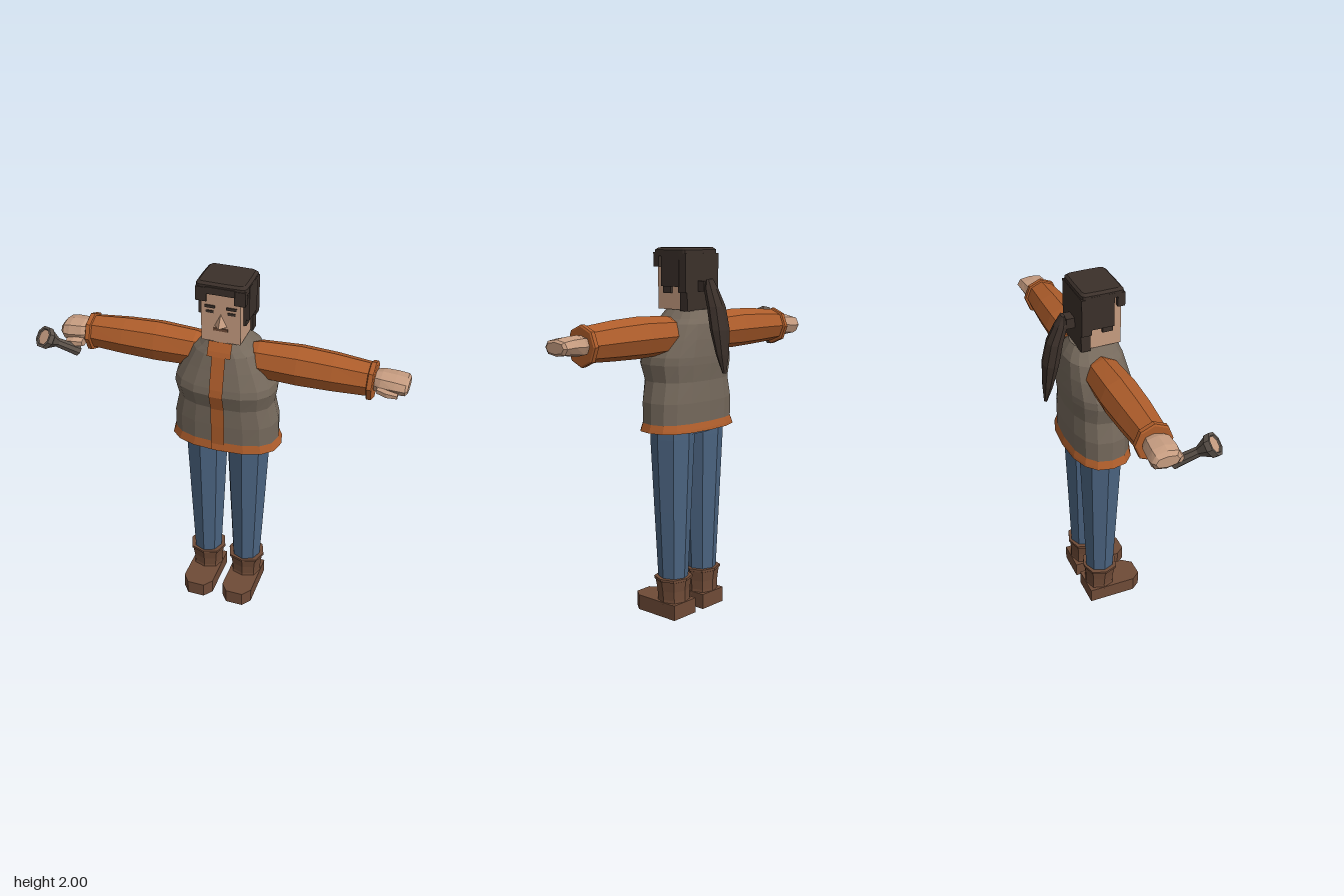
import * as THREE from 'three';

const paint = (name, color) => Object.assign(new THREE.MeshStandardMaterial({ color }), { name });

// Every face gets its own normal for the low-poly look
function mesh(name, geometry, material) {
  const g = geometry.index ? geometry.toNonIndexed() : geometry;
  g.computeVertexNormals();
  const m = new THREE.Mesh(g, material);
  m.name = name;
  return m;
}

// Capped skin over oval rings. Each ring: centre c, half-axes u and v; rings run along u x v
function loft(rings, n = 8, p = 1) {
  const pos = [], idx = [];
  const pow = (t) => Math.sign(t) * Math.abs(t) ** p;
  for (const { c, u, v } of rings)
    for (let i = 0; i < n; i++) {
      const a = (i / n) * Math.PI * 2, cu = pow(Math.cos(a)), sv = pow(Math.sin(a));
      for (let k = 0; k < 3; k++) pos.push(c[k] + u[k] * cu + v[k] * sv);
    }
  const last = (rings.length - 1) * n;
  for (let r = 0; r < last; r += n)
    for (let i = 0; i < n; i++) {
      const j = (i + 1) % n;
      idx.push(r + i, r + j, r + n + j, r + i, r + n + j, r + n + i);
    }
  for (let i = 1; i < n - 1; i++) idx.push(0, i + 1, i, last, last + i, last + i + 1);
  const g = new THREE.BufferGeometry();
  g.setAttribute('position', new THREE.Float32BufferAttribute(pos, 3));
  g.setIndex(idx);
  return g;
}

// Upright ring: height, half width, front z, back z, centre x
const ringY = (y, w, zf, zb, x = 0) => ({ c: [x, y, (zf + zb) / 2], u: [0, 0, (zf - zb) / 2], v: [w, 0, 0] });

// Sideways limb for side s; rows: x, centre y, half height, front z, back z
function limb(rows, s, n = 8, p = 1) {
  const rings = rows.map(([x, y, h, zf, zb]) => ({ c: [x * s, y, (zf + zb) / 2], u: [0, h, 0], v: [0, 0, (zf - zb) / 2] }));
  return loft(s < 0 ? rings.reverse() : rings, n, p);
}

// Box between two corners
function block(name, [x0, y0, z0], [x1, y1, z1], material) {
  const g = new THREE.BoxGeometry(x1 - x0, y1 - y0, z1 - z0);
  g.translate((x0 + x1) / 2, (y0 + y1) / 2, (z0 + z1) / 2);
  return mesh(name, g, material);
}

export function createModel() {
  const hair = paint('hair', 0x3b302a), skin = paint('skin', 0xc69c80);
  const orange = paint('orange cloth', 0xae5d2b), vest = paint('vest', 0x75695c);
  const denim = paint('denim', 0x4b6481), leather = paint('boot leather', 0x6f4b37);
  const metal = paint('torch metal', 0x5f554d);
  const model = new THREE.Group();
  model.name = 'figure';
  const body = new THREE.Group();
  body.name = 'body';
  body.position.x = 0.033;
  model.add(body);

  // Padded vest, from hem to collar
  const profile = [
    [1.085, 0.285, 0.18, -0.142], [1.2, 0.283, 0.185, -0.145], [1.31, 0.258, 0.187, -0.14],
    [1.4, 0.274, 0.214, -0.15], [1.44, 0.268, 0.208, -0.152], [1.53, 0.222, 0.185, -0.15],
    [1.61, 0.175, 0.165, -0.142], [1.635, 0.14, 0.155, -0.128], [1.68, 0.095, 0.13, -0.1],
  ];
  body.add(mesh('vest', loft(profile.map((r) => ringY(...r)), 16, 0.8), vest));
  body.add(mesh('hem', loft([ringY(1.045, 0.302, 0.19, -0.155), ringY(1.06, 0.296, 0.187, -0.152),
    ringY(1.095, 0.282, 0.18, -0.141)], 16, 0.8), orange));

  // Front strip and neckline follow the vest profile
  const strip = (name, rows, w) => {
    const g = new THREE.PlaneGeometry(2 * w, 1, 1, rows.length - 1), q = g.attributes.position;
    for (let i = 0; i < q.count; i++) {
      const [y, , z] = rows[rows.length - 1 - (i >> 1)];
      q.setY(i, y);
      q.setZ(i, z + 0.006);
    }
    body.add(mesh(name, g, orange));
  };
  strip('front strip', [[1.05, 0, 0.188], ...profile.slice(0, 7)], 0.036);
  strip('neckline', profile.slice(6), 0.062);
  body.add(mesh('neck', loft([ringY(1.6, 0.08, 0.11, -0.06), ringY(1.7, 0.08, 0.1, -0.06)]), skin));

  // Head with flat face details
  body.add(block('head', [-0.102, 1.68, -0.06], [0.102, 1.97, 0.133], skin));
  const nose = new THREE.ConeGeometry(0.034, 0.07, 4);
  nose.translate(0, 1.805, 0);
  const np = nose.attributes.position;
  for (let i = 0; i < np.count; i++) np.setZ(i, np.getZ(i) > 0.01 ? 0.172 : 0.13);
  body.add(mesh('nose', nose, skin));
  body.add(block('mouth', [-0.038, 1.743, 0.132], [0.038, 1.758, 0.138], leather));
  for (const s of [-1, 1]) {
    const x = 0.056 * s;
    body.add(block('eye', [x - 0.02, 1.838, 0.132], [x + 0.02, 1.851, 0.137], hair));
    body.add(block('brow', [x - 0.026, 1.866, 0.132], [x + 0.026, 1.88, 0.139], hair));
    body.add(block('sideHair', [x + 0.061 * s - 0.015, 1.8, -0.04], [x + 0.061 * s + 0.015, 1.98, 0.085], hair));
    body.add(block('sideburn', [s * 0.108 - 0.008, 1.765, 0.03], [s * 0.108 + 0.008, 1.82, 0.085], hair));
    body.add(block('fringeLock', [s * 0.1 - 0.028, 1.9, 0.105], [s * 0.1 + 0.028, 1.975, 0.143], hair));
  }
  body.add(mesh('hairCap', loft([ringY(1.955, 0.132, 0.141, -0.085), ringY(1.988, 0.132, 0.141, -0.085),
    ringY(2.0, 0.118, 0.128, -0.073)], 16, 0.2), hair));
  body.add(block('fringe', [-0.075, 1.943, 0.12], [0.075, 1.98, 0.145], hair));
  body.add(block('backHair', [-0.13, 1.77, -0.087], [0.13, 1.97, -0.035], hair));
  body.add(block('napeHair', [-0.115, 1.675, -0.085], [0.115, 1.78, -0.035], hair));

  // Ponytail: height, half width, front z, back z
  body.add(block('ponytailTie', [-0.035, 1.775, -0.13], [0.035, 1.83, -0.08], hair));
  body.add(mesh('ponytail', loft([
    [1.355, 0.012, -0.233, -0.25], [1.45, 0.04, -0.2, -0.256], [1.58, 0.06, -0.165, -0.254],
    [1.7, 0.055, -0.14, -0.228], [1.79, 0.04, -0.112, -0.184], [1.84, 0.025, -0.13, -0.148],
  ].map((r) => ringY(...r))), hair));

  // Sleeves, cuffs, legs and boots
  const toe = new THREE.Shape([[-0.087, 0.07], [-0.087, -0.2], [-0.048, -0.25], [0.048, -0.25],
    [0.087, -0.2], [0.087, 0.07]].map((q) => new THREE.Vector2(...q)));
  for (const s of [-1, 1]) {
    body.add(mesh('sleeve', limb([[0.12, 1.55, 0.088, 0.09, -0.06], [0.17, 1.55, 0.1, 0.11, -0.085],
      [0.38, 1.552, 0.108, 0.12, -0.095], [0.56, 1.55, 0.102, 0.115, -0.088],
      [0.755, 1.545, 0.089, 0.1, -0.072]], s), orange));
    body.add(mesh('cuff', limb([[0.737, 1.54, 0.095, 0.105, -0.077], [0.742, 1.54, 0.104, 0.113, -0.085],
      [0.765, 1.54, 0.104, 0.113, -0.085], [0.77, 1.54, 0.095, 0.105, -0.077]], s), orange));
    const x = 0.118 * s;
    body.add(mesh('trouserLeg', loft([ringY(0.19, 0.08, 0.1, -0.064, x), ringY(0.6, 0.1, 0.12, -0.082, x),
      ringY(1.0, 0.118, 0.14, -0.1, x), ringY(1.08, 0.118, 0.14, -0.1, x)]), denim));
    body.add(mesh('bootShaft', loft([ringY(0.07, 0.088, 0.1, -0.07, x), ringY(0.1, 0.084, 0.095, -0.068, x),
      ringY(0.15, 0.088, 0.098, -0.068, x), ringY(0.205, 0.096, 0.108, -0.075, x),
      ringY(0.208, 0.104, 0.114, -0.081, x), ringY(0.222, 0.104, 0.114, -0.081, x)], 8, 0.85), leather));
    const foot = new THREE.ExtrudeGeometry(toe, { depth: 0.085, bevelEnabled: false });
    foot.rotateX(-Math.PI / 2);
    foot.translate(x, 0, 0);
    body.add(mesh('bootFoot', foot, leather));
  }
  body.add(block('trouserSeat', [-0.12, 1.02, -0.085], [0.12, 1.08, 0.12], denim));

  // Open left hand with thumb, closed right hand
  body.add(mesh('leftHand', limb([[0.75, 1.545, 0.045, 0.06, -0.04], [0.8, 1.545, 0.052, 0.085, -0.065],
    [0.87, 1.548, 0.045, 0.09, -0.07], [0.925, 1.545, 0.04, 0.088, -0.07], [0.937, 1.545, 0.028, 0.07, -0.055]], 1, 8, 0.8), skin));
  body.add(mesh('leftThumb', limb([[0.79, 1.53, 0.02, 0.1, 0.05], [0.84, 1.525, 0.022, 0.116, 0.07],
    [0.895, 1.525, 0.015, 0.115, 0.08]], 1, 6), skin));
  body.add(mesh('rightHand', limb([[0.75, 1.545, 0.045, 0.06, -0.04], [0.8, 1.545, 0.058, 0.09, -0.06],
    [0.87, 1.54, 0.06, 0.095, -0.068], [0.905, 1.54, 0.05, 0.09, -0.065], [0.922, 1.54, 0.03, 0.07, -0.05]], -1, 8, 0.8), skin));
  body.add(mesh('rightThumb', limb([[0.79, 1.5, 0.025, 0.11, 0.04], [0.84, 1.5, 0.028, 0.12, 0.06],
    [0.88, 1.5, 0.018, 0.115, 0.07]], -1, 6), skin));

  // Hand torch, lathed along its own axis
  const tail = new THREE.Vector3(-0.83, 1.445, 0.085), axis = new THREE.Vector3(-0.11, 0.145, 0.15);
  const L = axis.length(), torch = new THREE.Group();
  torch.name = 'handTorch';
  const outline = [[0, 0], [0.032, 0], [0.03, 0.02], [0.026, 0.62 * L], [0.052, 0.85 * L], [0.06, 0.88 * L],
    [0.06, L], [0.046, L], [0.04, 0.97 * L]];
  torch.add(mesh('torchBody', new THREE.LatheGeometry(outline.map((q) => new THREE.Vector2(...q)), 8), metal));
  const lens = new THREE.CircleGeometry(0.042, 8);
  lens.rotateX(-Math.PI / 2);
  lens.translate(0, 0.975 * L, 0);
  torch.add(mesh('torchLens', lens, skin));
  torch.position.copy(tail);
  torch.quaternion.setFromUnitVectors(new THREE.Vector3(0, 1, 0), axis.normalize());
  body.add(torch);
  return model;
}
